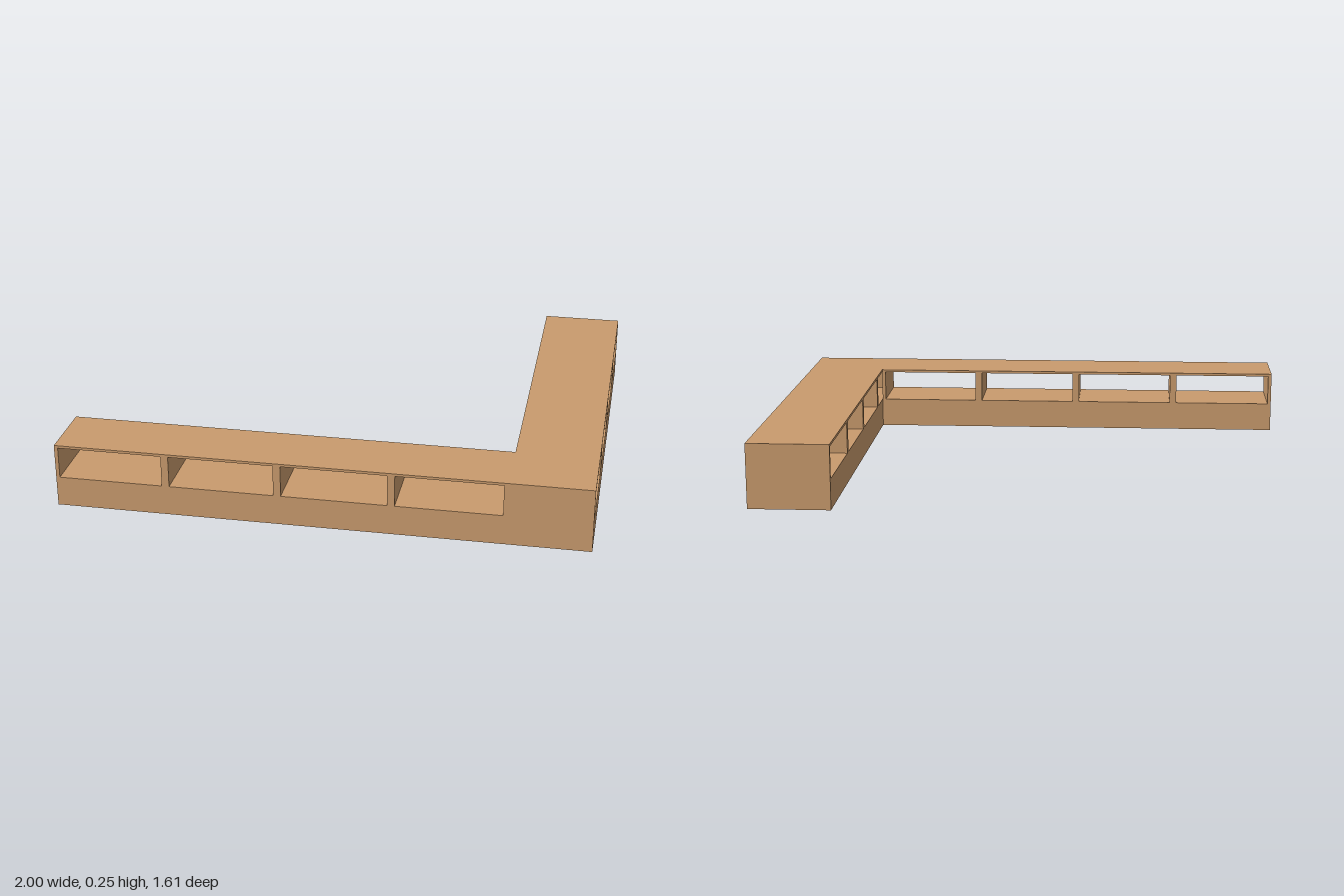
import * as THREE from 'three';

const HEIGHT = 0.247, BASE = 0.116, TOP = 0.01, WALL = 0.014, BAYS = 4;
const wood = new THREE.MeshStandardMaterial({ color: 0xc99b6d });

function addBox(parent, name, w, h, d, x, y, z) {
  const mesh = new THREE.Mesh(new THREE.BoxGeometry(w, h, d), wood);
  mesh.name = name;
  mesh.position.set(x, y, z);
  parent.add(mesh);
}

// Low open shelf running along local x: solid base, thin top and upright dividers
function createShelf(name, length, depth) {
  const shelf = new THREE.Group();
  shelf.name = name;
  addBox(shelf, 'base', length, BASE, depth, 0, BASE / 2, 0);
  addBox(shelf, 'topBoard', length, TOP, depth, 0, HEIGHT - TOP / 2, 0);

  const h = HEIGHT - TOP - BASE;
  for (let i = 0; i <= BAYS; i++) {
    // End walls are half as thick as the dividers between bays
    const end = i === 0 ? 1 : i === BAYS ? -1 : 0;
    const w = end ? WALL : WALL * 2;
    const x = -length / 2 + (i * length) / BAYS + (end * WALL) / 2;
    addBox(shelf, end ? 'endWall' : 'divider', w, h, depth, x, BASE + h / 2, 0);
  }
  return shelf;
}

export function createModel() {
  const model = new THREE.Group();
  model.name = 'cornerShelf';

  // Front arm, butting against the side arm
  const front = createShelf('frontShelf', 1.69, 0.255);
  front.position.set(-0.155, 0, 0.6775);

  // Side arm, running the full depth
  const side = createShelf('sideShelf', 1.61, 0.31);
  side.rotation.y = Math.PI / 2;
  side.position.set(0.845, 0, 0);

  model.add(front, side);
  return model;
}
